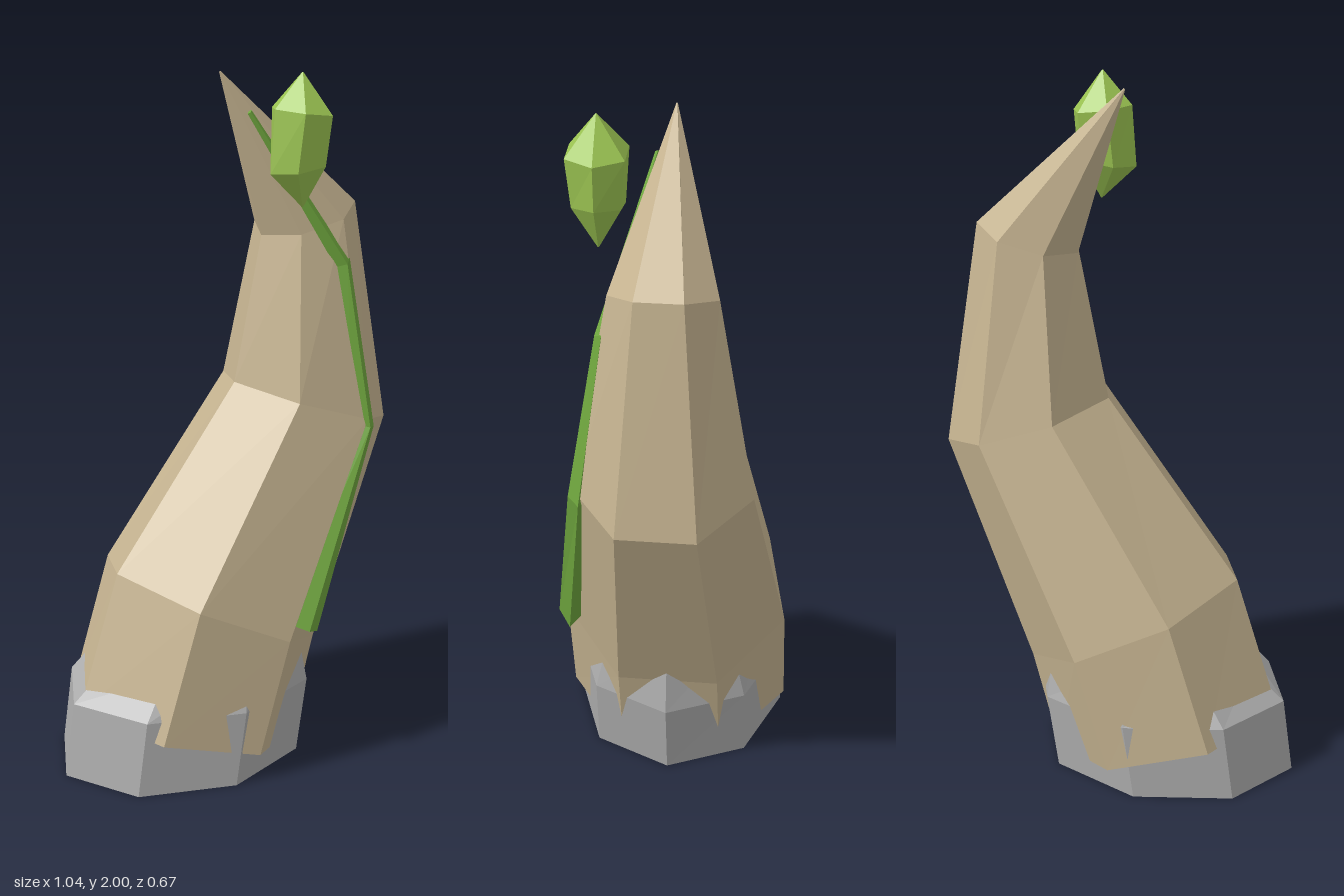
import * as THREE from 'three';

const material = (name, color) => {
  const m = new THREE.MeshStandardMaterial({ color });
  m.name = name;
  return m;
};

// Faceted skin over a stack of tilted rings.
// Each ring: c = centre, d = [x, y] in-plane radius vector, w = radius along z.
function skin(name, mat, sides, rings, phase = 0) {
  const loops = rings.map(({ c, d, w }) =>
    Array.from({ length: sides }, (_, i) => {
      const a = phase + (i / sides) * Math.PI * 2;
      const k = Math.cos(a);
      return [c[0] + d[0] * k, c[1] + d[1] * k, c[2] + w * Math.sin(a)];
    }));
  const pos = [];
  const tri = (...pts) => pts.forEach((p) => pos.push(...p));
  const last = rings.length - 1;
  for (let i = 0; i < sides; i++) {
    const j = (i + 1) % sides;
    for (let r = 0; r < last; r++) {
      const lo = loops[r], hi = loops[r + 1];
      tri(lo[i], hi[i], lo[j]);
      tri(lo[j], hi[i], hi[j]);
    }
    tri(rings[0].c, loops[0][i], loops[0][j]);
    tri(rings[last].c, loops[last][j], loops[last][i]);
  }
  const geo = new THREE.BufferGeometry();
  geo.setAttribute('position', new THREE.Float32BufferAttribute(pos, 3));
  geo.computeVertexNormals();
  const mesh = new THREE.Mesh(geo, mat);
  mesh.name = name;
  return mesh;
}

export function createModel() {
  const tan = material('tan horn', 0xc6b491);
  const grey = material('grey stone', 0xacacac);
  const green = material('vine green', 0x6fa63e);
  const lime = material('bud green', 0x9cc552);
  const group = new THREE.Group();
  group.name = 'hornWithVine';

  // Curved seven-sided horn, a ridge on the -x side
  const z = -0.007;
  group.add(skin('horn', tan, 7, [
    { c: [-0.135, 0.1, z], d: [0.335, -0.09], w: 0.336 },
    { c: [-0.03, 0.443, z], d: [0.308, -0.147], w: 0.336 },
    { c: [0.302, 1.02, z], d: [0.242, -0.079], w: 0.256 },
    { c: [0.297, 1.562, z], d: [0.147, 0.042], w: 0.152 },
    { c: [0.01, 1.99, z], d: [0.002, 0.002], w: 0.002 },
  ], Math.PI / 7));

  // Octagonal stone socket with a bevelled, tilted rim
  group.add(skin('socket', grey, 8, [
    { c: [-0.135, 0, -0.005], d: [0.385, 0], w: 0.315 },
    { c: [-0.102, 0.22, -0.005], d: [0.387, 0], w: 0.315 },
    { c: [-0.065, 0.365, -0.005], d: [0.315, 0.055], w: 0.255 },
  ]));

  // Vine running up the front ridge
  group.add(skin('vine', green, 4, [
    { c: [0.095, 0.435, 0.297], d: [0.055, -0.025], w: 0.04 },
    { c: [0.357, 0.98, 0.22], d: [0.038, -0.01], w: 0.034 },
    { c: [0.32, 1.45, 0.155], d: [0.024, 0.01], w: 0.022 },
    { c: [0.08, 1.88, 0.035], d: [0.006, 0.005], w: 0.008 },
  ]));

  // Floating bud
  group.add(skin('bud', lime, 6, [
    { c: [0.155, 1.633, 0.187], d: [0.002, 0], w: 0.002 },
    { c: [0.138, 1.745, 0.187], d: [0.09, 0.012], w: 0.077 },
    { c: [0.15, 1.895, 0.187], d: [0.089, -0.012], w: 0.092 },
    { c: [0.15, 2, 0.187], d: [0.002, 0], w: 0.002 },
  ]));
  return group;
}
